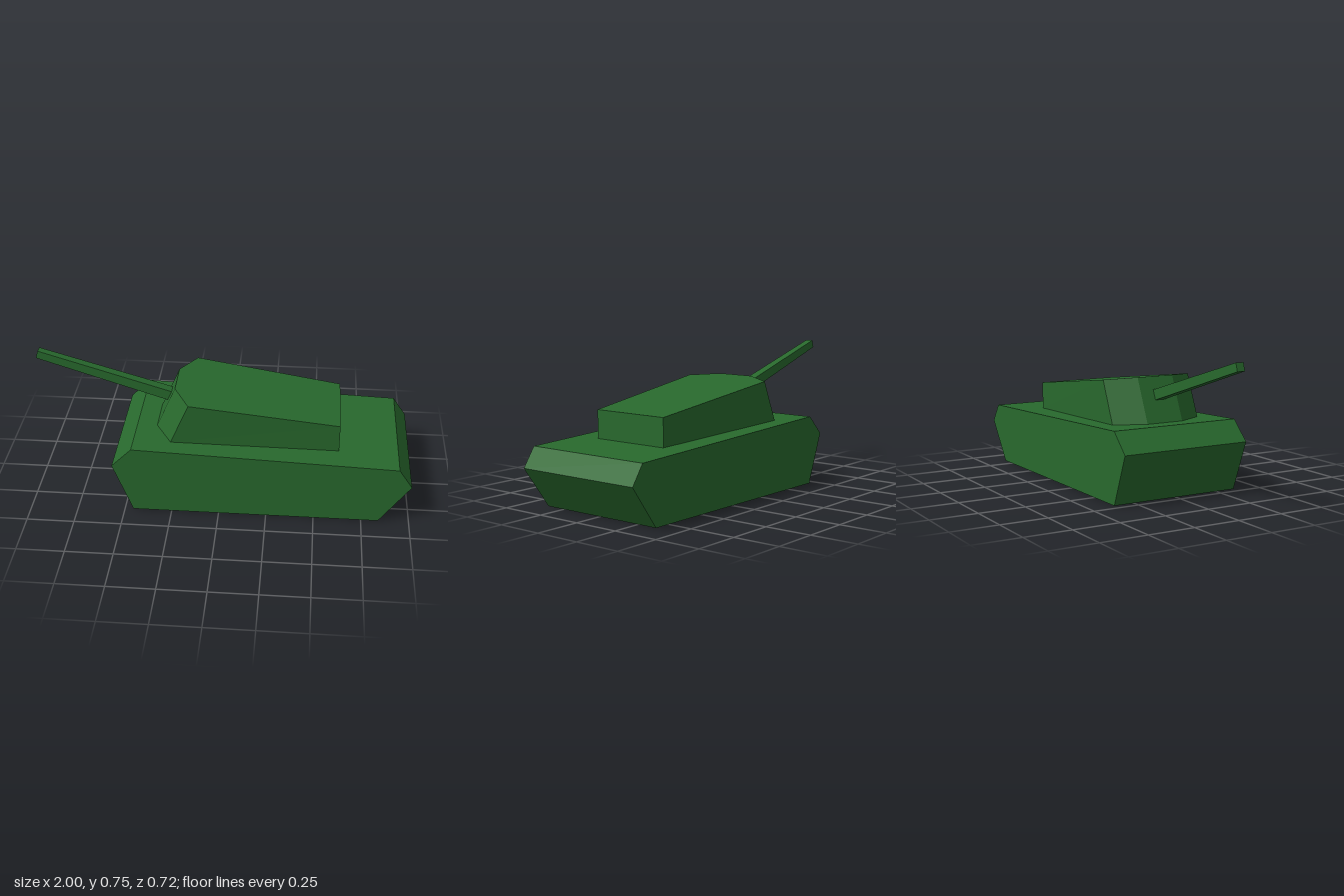
import * as THREE from 'three';

const material = new THREE.MeshStandardMaterial({
  color: 0x28692d, flatShading: true, side: THREE.DoubleSide,
});

// Flat panels: each is a convex loop of [x, y, z] corners, counter-clockwise from outside
function panels(name, loops) {
  const pos = [];
  for (const loop of loops) {
    for (let i = 1; i < loop.length - 1; i++) pos.push(...loop[0], ...loop[i], ...loop[i + 1]);
  }
  const geo = new THREE.BufferGeometry();
  geo.setAttribute('position', new THREE.Float32BufferAttribute(pos, 3));
  geo.computeVertexNormals();
  return named(name, geo);
}

function named(name, geo) {
  const mesh = new THREE.Mesh(geo, material);
  mesh.name = name;
  return mesh;
}

// Hull side profile [x, y], with the sloping deck between points 3 and 4
const W = 0.362;
const profile = [[-0.455, 0], [0.84, 0], [1, 0.22], [0.93, 0.322], [-0.455, 0.375], [-0.56, 0.27]];
const deckY = (x) => 0.375 - ((x + 0.455) * 0.053) / 1.385;

// Turret outlines [x, z], ring at the deck and ring at the roof
const base = [[-0.35, 0.105], [-0.26, 0.26], [0.62, 0.22], [0.62, -0.22], [-0.26, -0.26], [-0.35, -0.105]];
const roof = [[-0.25, 0.105], [-0.165, 0.26], [0.62, 0.22], [0.62, -0.22], [-0.165, -0.26], [-0.25, -0.105]];
const roofY = (x) => 0.601 - (x + 0.25) * 0.1355;

// Open-bottomed hull: two sides plus nose and tail plates
function hull() {
  const at = (p, z) => [p[0], p[1], z];
  const loops = [
    profile.map((p) => at(p, W)),
    profile.map((p) => at(p, -W)).reverse(),
  ];
  for (const i of [1, 2, 4, 5]) {
    const a = profile[i], b = profile[(i + 1) % 6];
    loops.push([at(a, W), at(a, -W), at(b, -W), at(b, W)]);
  }
  return panels('hull', loops);
}

// Deck plate with the turret opening cut out
function deck() {
  const shape = new THREE.Shape([[-0.455, -W], [0.93, -W], [0.93, W], [-0.455, W]]
    .map(([x, y]) => new THREE.Vector2(x, y)));
  shape.holes.push(new THREE.Path(base.map(([x, z]) => new THREE.Vector2(x, -z))));
  const geo = new THREE.ShapeGeometry(shape).rotateX(-Math.PI / 2);
  const p = geo.attributes.position;
  for (let i = 0; i < p.count; i++) p.setY(i, deckY(p.getX(i)));
  geo.computeVertexNormals();
  return named('deck', geo);
}

// Faceted turret shell: walls and sloping roof
function turret() {
  const lo = base.map(([x, z]) => [x, deckY(x), z]);
  const hi = roof.map(([x, z]) => [x, roofY(x), z]);
  const walls = lo.map((p, i) => {
    const j = (i + 1) % lo.length;
    return [p, lo[j], hi[j], hi[i]];
  });
  return panels('turret', [...walls, hi]);
}

// Square tapered gun barrel, raised towards the muzzle
function barrel() {
  const root = new THREE.Vector2(-0.28, 0.507), tip = new THREE.Vector2(-0.9925, 0.725);
  const d = tip.clone().sub(root), mid = root.clone().add(tip).multiplyScalar(0.5);
  const geo = new THREE.CylinderGeometry(0.0215 * Math.SQRT2, 0.028 * Math.SQRT2, d.length(), 4)
    .rotateY(Math.PI / 4)
    .rotateZ(Math.atan2(-d.x, d.y))
    .translate(mid.x, mid.y, 0);
  return named('gunBarrel', geo);
}

export function createModel() {
  const group = new THREE.Group();
  group.name = 'tank';
  group.add(hull(), deck(), turret(), barrel());
  return group;
}
